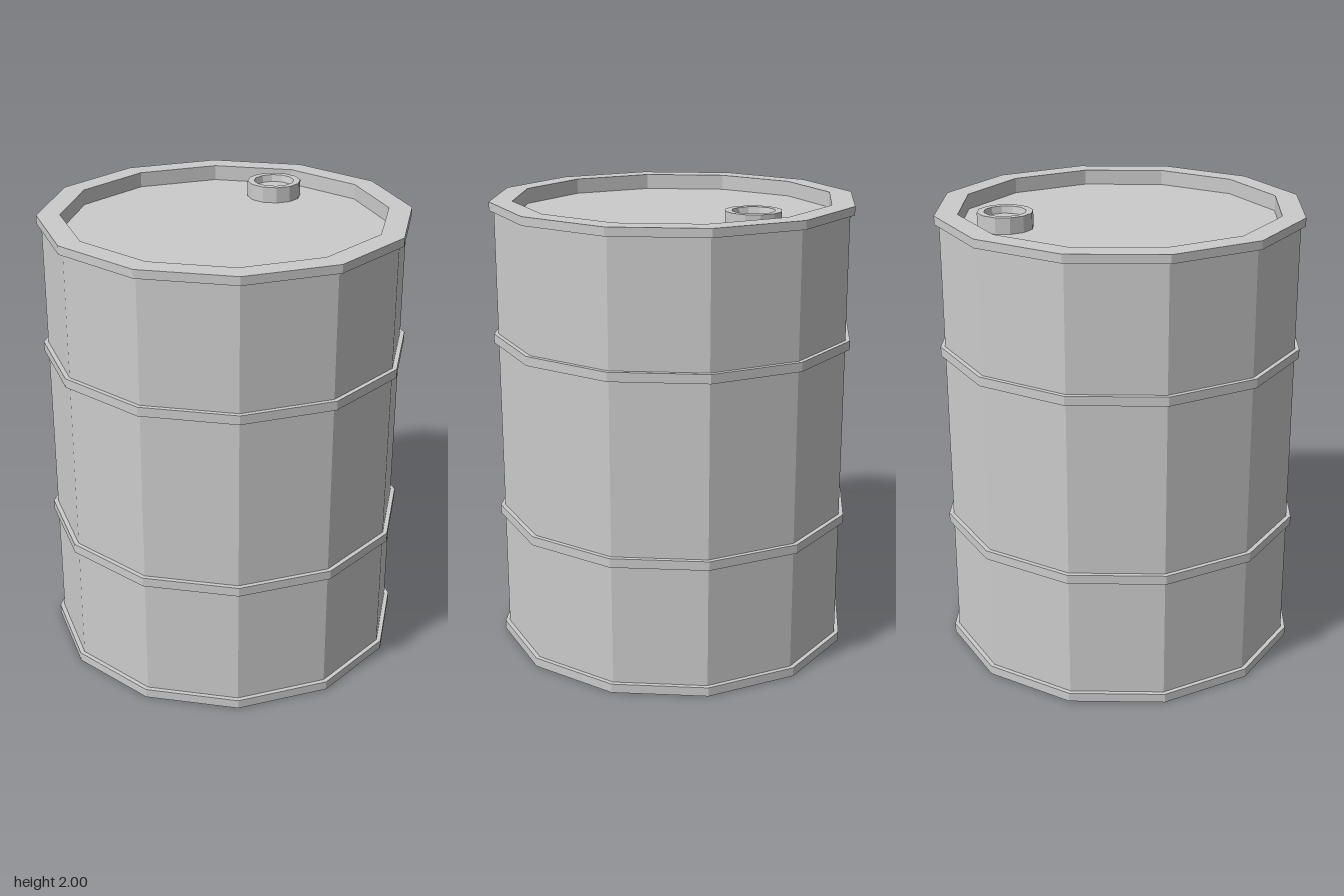
import * as THREE from 'three';

const SIDES = 12;
const BODY = 0.78, HOOP = 0.8, INNER = 0.7; // radii
const RIM_TOP = 1.997, LID_Y = 1.93, BASE_Y = 0.06;

export function createModel() {
  const barrel = new THREE.Group();
  barrel.name = 'barrel';
  const metal = new THREE.MeshStandardMaterial({ color: 0xcccccc, flatShading: true });

  // Faceted ring swept from [radius, height] pairs, outer side listed upward
  function turned(name, profile) {
    const points = profile.map(([r, y]) => new THREE.Vector2(r, y));
    const mesh = new THREE.Mesh(new THREE.LatheGeometry(points, SIDES), metal);
    mesh.name = name;
    barrel.add(mesh);
    return mesh;
  }

  // Flat twelve-sided disc, facing up or down
  function disc(name, radius, y, up) {
    const mesh = new THREE.Mesh(new THREE.CircleGeometry(radius, SIDES), metal);
    mesh.rotation.x = up ? -Math.PI / 2 : Math.PI / 2;
    mesh.position.y = y;
    mesh.name = name;
    barrel.add(mesh);
    return mesh;
  }

  // Wall sections between the hoops
  [['lowerWall', 0.04, 0.58], ['middleWall', 0.62, 1.38], ['upperWall', 1.42, 1.96]]
    .forEach(([name, y0, y1]) => turned(name, [[BODY, y0], [BODY, y1]]));

  // Two raised hoops round the wall
  [['lowerHoop', 0.6], ['upperHoop', 1.4]].forEach(([name, y]) =>
    turned(name, [[BODY, y - 0.02], [HOOP, y - 0.02], [HOOP, y + 0.02], [BODY, y + 0.02]]));

  // End rims, each with the inside wall of its recess
  turned('bottomRim', [[INNER, BASE_Y], [INNER, 0], [HOOP, 0], [HOOP, 0.04], [BODY, 0.04]]);
  turned('topRim', [[BODY, 1.96], [HOOP, 1.96], [HOOP, RIM_TOP], [INNER, RIM_TOP], [INNER, LID_Y]]);

  // Recessed ends
  disc('lid', INNER, LID_Y, true);
  disc('base', INNER, BASE_Y, false);

  // Filler spout near the back of the lid, with a sunken plug
  const spout = turned('spout', [[0.12, LID_Y], [0.12, 2], [0.09, 2], [0.083, 1.97]]);
  spout.position.z = -0.5;
  const plug = disc('spoutPlug', 0.083, 1.97, true);
  plug.position.z = -0.5;

  return barrel;
}
